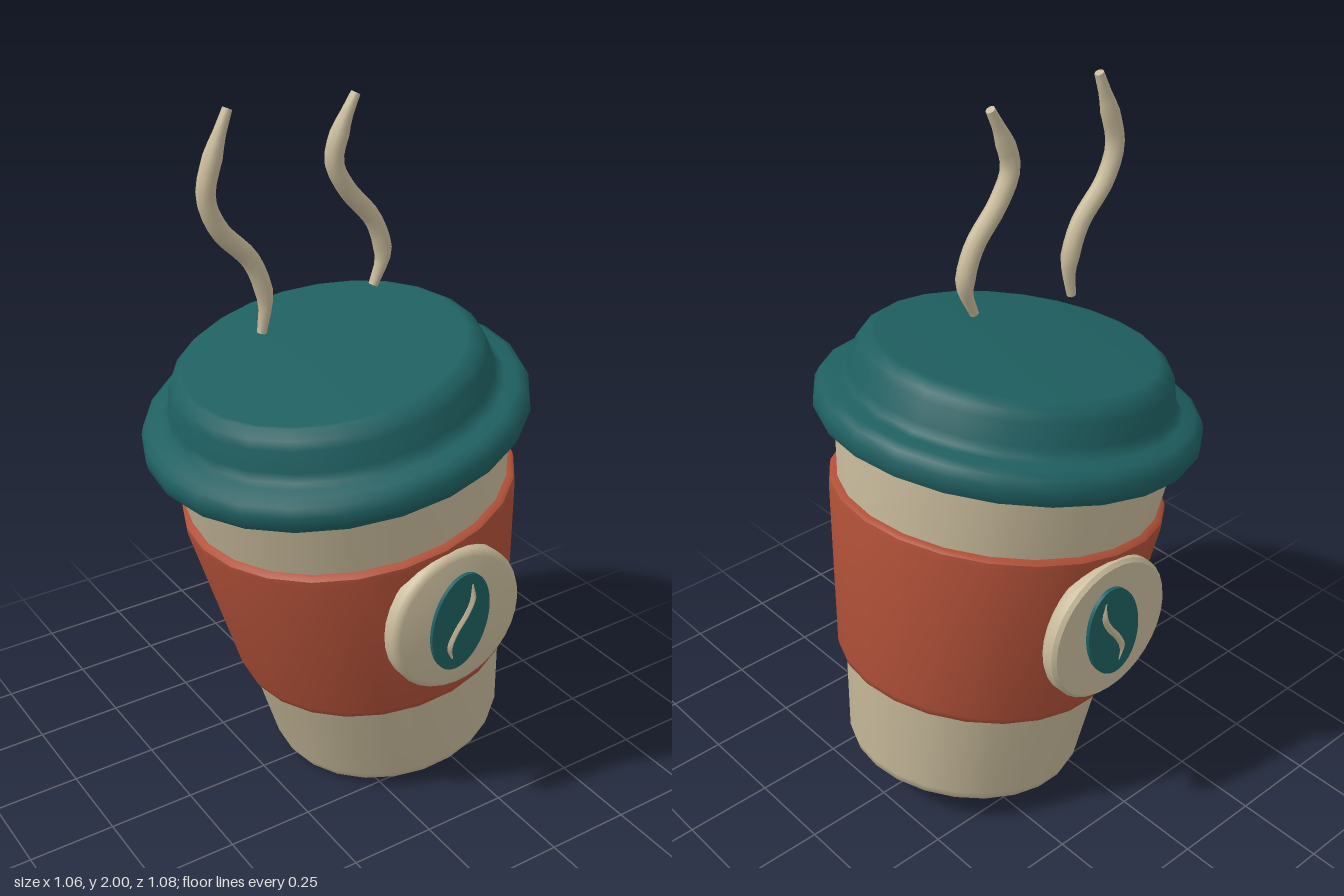
import * as THREE from 'three';
import { toCreasedNormals } from 'three/addons/utils/BufferGeometryUtils.js';

const paint = (color) => new THREE.MeshStandardMaterial({ color, roughness: 0.8 });
const cream = paint(0xc9bb9c);
const teal = paint(0x1f5f61);
const rust = paint(0xb05038);

function part(name, geometry, material, parent) {
  const mesh = new THREE.Mesh(geometry, material);
  mesh.name = name;
  parent.add(mesh);
  return mesh;
}

// Turned part from [radius, height] pairs, bottom to top
function turned(profile, segments = 24) {
  const points = profile.map(([r, y]) => new THREE.Vector2(r, y));
  return toCreasedNormals(new THREE.LatheGeometry(points, segments), 0.75);
}

// Tube along points in the xy plane, narrowing to closed ends
function taperedTube(points, radius, sides, endScale) {
  const curve = new THREE.CatmullRomCurve3(points.map(([x, y]) => new THREE.Vector3(x, y, 0)));
  const rings = 22;
  const geometry = new THREE.TubeGeometry(curve, rings, radius, sides);
  const pos = geometry.attributes.position;
  const v = new THREE.Vector3();
  for (let i = 0; i <= rings; i++) {
    const edge = Math.min(i, rings - i);
    const centre = curve.getPointAt(i / rings);
    // the outermost ring closes the end as a flat cap on its neighbour
    const end = curve.getPointAt(i < rings / 2 ? 0 : 1);
    const scale = edge === 0 ? 0 : Math.min(1, endScale + (1 - endScale) * (edge - 1) / 3);
    for (let j = 0; j <= sides; j++) {
      const k = i * (sides + 1) + j;
      v.fromBufferAttribute(pos, k).sub(centre).multiplyScalar(scale);
      v.add(edge <= 1 ? end : centre);
      pos.setXYZ(k, v.x, v.y, v.z);
    }
  }
  return toCreasedNormals(geometry, 0.9);
}

export function createModel() {
  const model = new THREE.Group();
  model.name = 'takeawayCup';

  // Leaning cup with sleeve and lid
  const cup = new THREE.Group();
  cup.name = 'cup';
  cup.position.set(0.193, 0.057, 0);
  cup.rotation.z = THREE.MathUtils.degToRad(10);
  model.add(cup);

  part('cupBody', turned([
    [0, 0], [0.318, 0], [0.336, 0.01], [0.346, 0.035], [0.48, 1.06], [0, 1.06],
  ]), cream, cup);

  part('sleeve', turned([
    [0.37, 0.308], [0.39, 0.308], [0.402, 0.316], [0.408, 0.335],
    [0.475, 0.835], [0.474, 0.852], [0.464, 0.861], [0.44, 0.861],
  ]), rust, cup);

  part('lid', turned([
    [0, 1.045], [0.505, 1.045], [0.525, 1.05], [0.537, 1.07], [0.538, 1.1],
    [0.528, 1.125], [0.508, 1.138], [0.475, 1.143], [0.458, 1.152], [0.449, 1.175],
    [0.436, 1.232], [0.424, 1.254], [0.398, 1.274], [0.388, 1.275], [0, 1.275],
  ]), teal, cup);

  // Round badge with a bean, on the front and the back
  const coinGeometry = turned([
    [0, -0.028], [0.2, -0.028], [0.21, -0.018], [0.21, 0.012], [0.203, 0.023], [0.19, 0.028], [0, 0.028],
  ], 32).rotateX(Math.PI / 2);
  const beanShape = new THREE.Shape().absellipse(0, 0, 0.092, 0.145, 0, Math.PI * 2, false, -0.17);
  const beanGeometry = toCreasedNormals(
    new THREE.ExtrudeGeometry(beanShape, { depth: 0.03, bevelEnabled: false, curveSegments: 28 })
      .translate(0, 0, -0.015), 0.6);
  const creaseGeometry = taperedTube(
    [[-0.025, -0.108], [-0.035, -0.07], [-0.015, -0.025], [0.018, 0.02], [0.036, 0.06], [0.033, 0.108]],
    0.011, 6, 0.5);

  for (const [name, side] of [['frontBadge', 1], ['backBadge', -1]]) {
    const badge = new THREE.Group();
    badge.name = name;
    badge.position.set(0.08, 0.678, 0.464 * side);
    model.add(badge);
    part('badgeDisc', coinGeometry, cream, badge);
    part('bean', beanGeometry, teal, badge).position.z = 0.024 * side;
    part('beanCrease', creaseGeometry, cream, badge).position.z = 0.035 * side;
  }

  // Two wisps of steam
  const wisps = {
    leftSteam: [[0.135, 1.458], [0.165, 1.54], [0.135, 1.64], [0.05, 1.74], [0.01, 1.82], [0.03, 1.9], [0.075, 1.988]],
    rightSteam: [[-0.215, 1.398], [-0.203, 1.49], [-0.24, 1.6], [-0.33, 1.7], [-0.364, 1.79], [-0.34, 1.89], [-0.296, 2]],
  };
  for (const [name, points] of Object.entries(wisps)) {
    part(name, taperedTube(points, 0.026, 8, 0.5), cream, model).position.z = -0.012;
  }

  return model;
}
